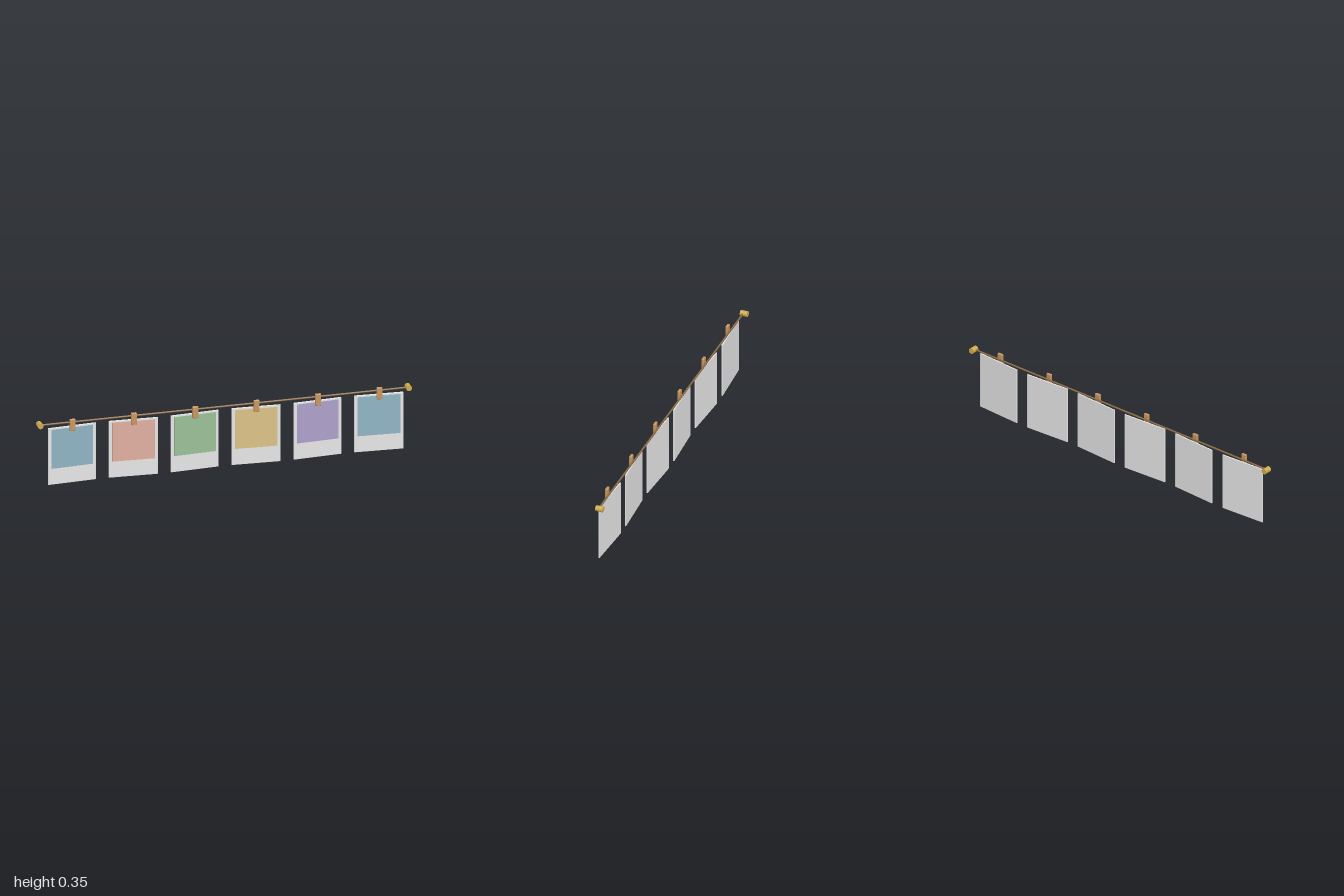
import * as THREE from 'three';
import { RoundedBoxGeometry } from 'three/addons/geometries/RoundedBoxGeometry.js';

const mat = (name, color) => {
  const m = new THREE.MeshStandardMaterial({ color });
  m.name = name;
  return m;
};

export function createModel() {
  const group = new THREE.Group();
  group.name = 'photoGarland';

  const paper = mat('paper white', 0xececec);
  const wood = mat('clip wood', 0xc8965f);
  const brass = mat('brass', 0xcfac4c);
  const twine = mat('twine brown', 0x8a6a45);
  const blue = mat('photo blue', 0x8fb5c4);
  const photos = [
    blue,
    mat('photo coral', 0xe0b0a0),
    mat('photo green', 0x9cc098),
    mat('photo ochre', 0xdcc488),
    mat('photo violet', 0xb0a0cc),
    blue,
  ];

  const add = (parent, name, geometry, material, x, y, z) => {
    const mesh = new THREE.Mesh(geometry, material);
    mesh.name = name;
    mesh.position.set(x, y, z);
    parent.add(mesh);
    return mesh;
  };

  // Twine stretched between two wall knobs
  const lineY = 0.331;
  add(group, 'twine', new THREE.CylinderGeometry(0.005, 0.005, 1.97, 10).rotateZ(Math.PI / 2), twine, 0, lineY, 0);
  const knob = new THREE.CylinderGeometry(0.0153, 0.0153, 0.04, 20).rotateX(Math.PI / 2);
  for (const side of [-1, 1]) add(group, 'wallKnob', knob, brass, side * 0.985, 0.33, -0.005);

  // Hanging photo cards, swung alternately left and right
  const cardGeo = new RoundedBoxGeometry(0.259, 0.315, 0.007, 2, 0.002);
  const photoGeo = new THREE.BoxGeometry(0.225, 0.215, 0.005);
  const clipGeo = new RoundedBoxGeometry(0.031, 0.065, 0.015, 3, 0.004);
  photos.forEach((photoMat, i) => {
    const x = (i - 2.5) * 0.328 + 0.004;
    const card = new THREE.Group();
    card.name = 'photoCard';
    card.position.set(x, 0, 0.0055);
    card.rotation.y = i % 2 ? -0.055 : 0.055;
    add(card, 'cardPaper', cardGeo, paper, 0, 0.1575, 0);
    add(card, 'photo', photoGeo, photoMat, 0, 0.198, 0.006);
    group.add(card);

    // Clip pinning the card to the twine
    add(group, 'clip', clipGeo, wood, x, 0.3225, 0.0185);
  });

  return group;
}
